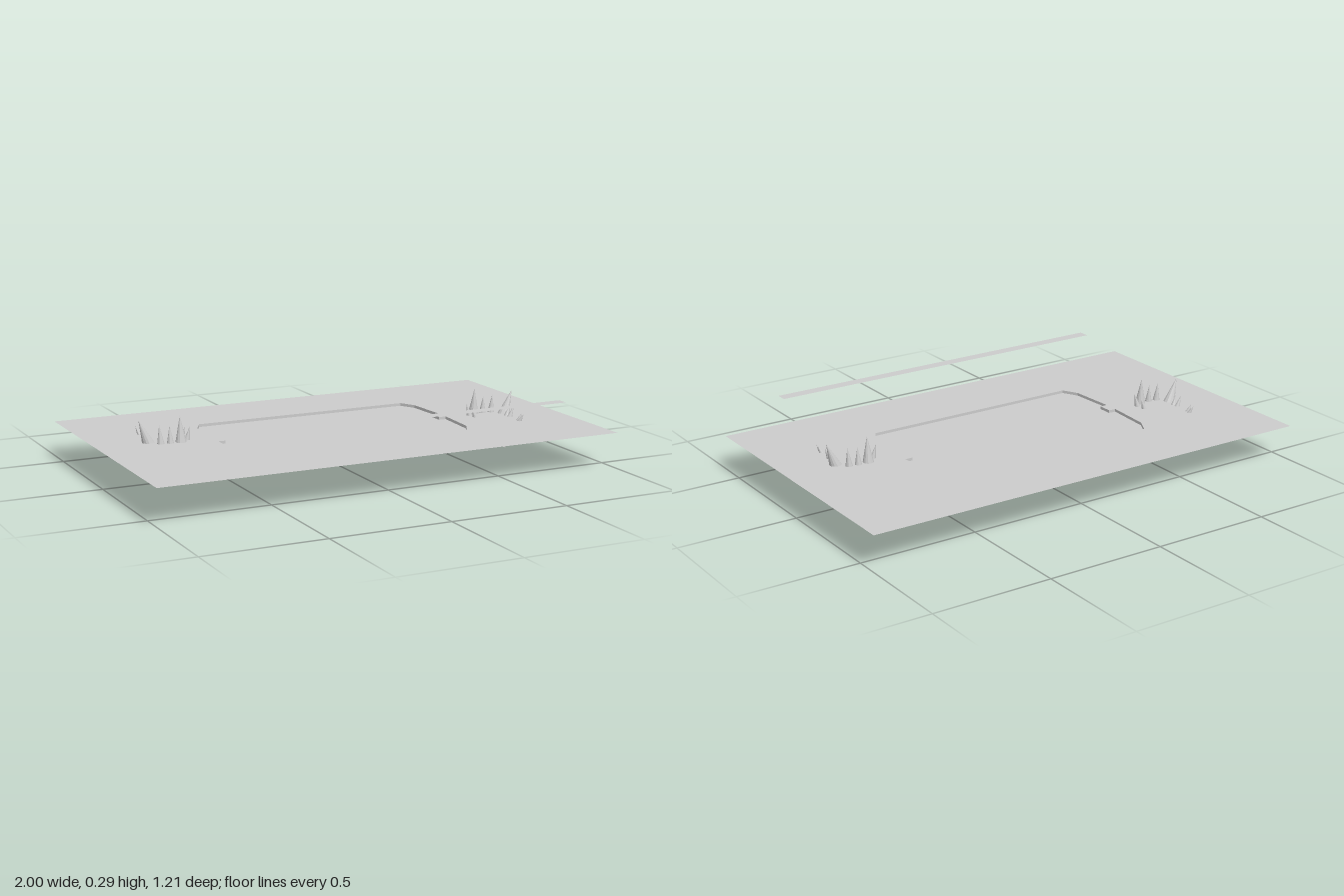
import * as THREE from 'three';

const MAT_Y = 0.159;
const FLOOR_Y = 0.147;

export function createModel() {
  const model = new THREE.Group();
  model.name = 'gameTable';
  const flat = new THREE.MeshStandardMaterial({ color: 0xcccccc, side: THREE.DoubleSide });
  const faceted = new THREE.MeshStandardMaterial({ color: 0xcccccc, flatShading: true });

  const add = (parent, geometry, name, material = flat) => {
    const mesh = new THREE.Mesh(geometry, material);
    mesh.name = name;
    parent.add(mesh);
    return mesh;
  };

  // Flat horizontal rectangle
  const sheet = (parent, name, w, d, x, y, z) =>
    add(parent, new THREE.PlaneGeometry(w, d).rotateX(-Math.PI / 2), name).position.set(x, y, z);

  // Outline of the sunken field: chamfered corners and a notch at each end
  const quarter = [[0.475, 0.29], [0.51, 0.225], [0.522, 0.03], [0.49, 0.03]];
  const rightSide = [...quarter, ...quarter.map(([x, z]) => [x, -z]).reverse()];
  const outline = [...rightSide, ...rightSide.map(([x, z]) => [-x, -z])]
    .map(([x, z]) => new THREE.Vector2(x, z));

  // Mat with an opening for the field
  const matShape = new THREE.Shape([[-1, -0.605], [1, -0.605], [1, 0.605], [-1, 0.605]]
    .map(([x, z]) => new THREE.Vector2(x, z)));
  matShape.holes.push(new THREE.Path(outline));
  add(model, new THREE.ShapeGeometry(matShape).rotateX(-Math.PI / 2), 'mat').position.y = MAT_Y;

  // Field floor and the low walls around it
  add(model, new THREE.ShapeGeometry(new THREE.Shape(outline)).rotateX(-Math.PI / 2), 'fieldFloor')
    .position.y = FLOOR_Y;
  const walls = new THREE.Group();
  walls.name = 'fieldWalls';
  model.add(walls);
  outline.forEach((a, i) => {
    const b = outline[(i + 1) % outline.length];
    const wall = add(walls, new THREE.PlaneGeometry(a.distanceTo(b), MAT_Y - FLOOR_Y), 'fieldWall');
    wall.position.set((a.x + b.x) / 2, (MAT_Y + FLOOR_Y) / 2, -(a.y + b.y) / 2);
    wall.rotation.y = Math.atan2(b.y - a.y, b.x - a.x);
  });

  // Spikes: base x, y, z, tip x, y, z, base radius
  const spikes = [
    [0.73, 0.03, 0.08, 0.82, 0.255, 0.073, 0.055],
    [0.655, 0.025, 0.025, 0.66, 0.267, 0.032, 0.05],
    [0.70, 0.05, 0.025, 0.705, 0.23, 0.03, 0.036],
    [0.735, 0.05, 0.03, 0.747, 0.235, 0.035, 0.036],
    [0.645, 0.06, 0.06, 0.61, 0.215, 0.05, 0.032],
    [0.65, 0.08, 0.10, 0.615, 0.205, 0.09, 0.028],
    [0.74, 0.09, 0.135, 0.78, 0.20, 0.12, 0.028],
    [0.74, 0.085, 0.145, 0.785, 0.205, 0.15, 0.028],
    [0.74, 0.10, 0.215, 0.775, 0.19, 0.23, 0.025],
    [0.735, 0.10, 0.22, 0.77, 0.188, 0.252, 0.025],
  ];
  const up = new THREE.Vector3(0, 1, 0);
  const addSpike = (parent, [bx, by, bz, tx, ty, tz, r]) => {
    const base = new THREE.Vector3(bx, by, bz);
    const tip = new THREE.Vector3(tx, ty, tz);
    const axis = tip.clone().sub(base);
    const cone = add(parent, new THREE.ConeGeometry(r, axis.length(), 12), 'spike', faceted);
    cone.position.copy(base).add(tip).multiplyScalar(0.5);
    cone.quaternion.setFromUnitVectors(up, axis.normalize());
  };

  // Each player's half holds the same places, turned half way round
  for (const [name, turn] of [['frontHalf', 0], ['backHalf', Math.PI]]) {
    const half = new THREE.Group();
    half.name = name;
    half.rotation.y = turn;
    model.add(half);
    const card = (label, x, y, z) => sheet(half, label, 0.114, 0.16, x, y + 0.001, z);
    for (let i = 0; i < 7; i++) card('handPlace', -0.323 + i * 0.1295, MAT_Y, 0.402);
    card('sidePlace', 0.637, MAT_Y, 0.402);
    for (let i = 0; i < 5; i++) card('fieldPlace', -0.391 + i * 0.196, FLOOR_Y, 0.131);
    card('deckPlace', 0.694, MAT_Y, 0.147);
    const cluster = new THREE.Group();
    cluster.name = 'spikeCluster';
    half.add(cluster);
    spikes.forEach((s) => addSpike(cluster, s));
  }

  // Long strip floating over the front edge
  sheet(model, 'floatingStrip', 1.545, 0.048, -0.002, 0.30, 0.543);
  return model;
}
